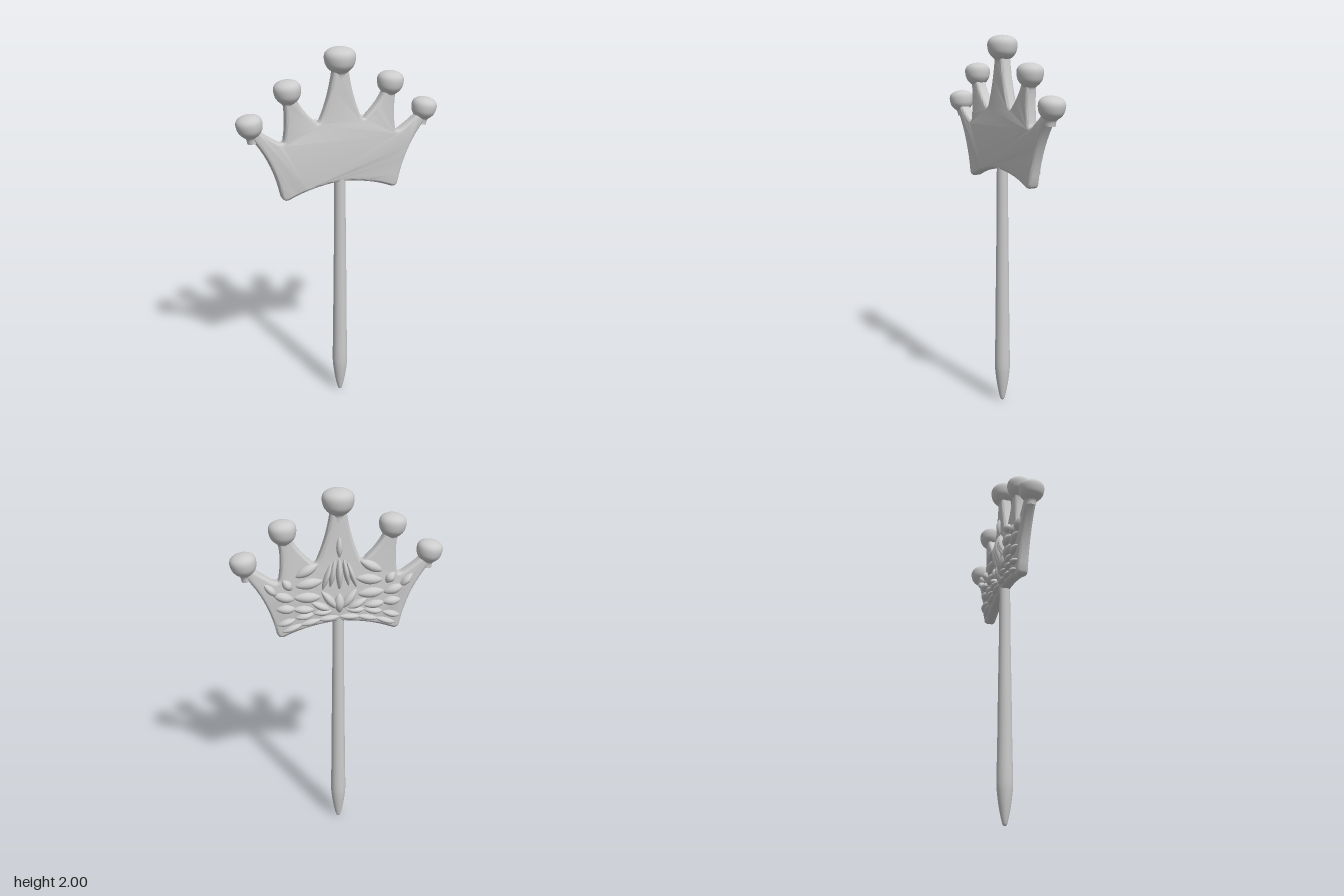
import * as THREE from 'three';
import { toCreasedNormals } from 'three/addons/utils/BufferGeometryUtils.js';

const material = new THREE.MeshStandardMaterial({ color: 0xcccccc });

function addMesh(parent, name, geometry) {
  const mesh = new THREE.Mesh(geometry, material);
  mesh.name = name;
  parent.add(mesh);
  return mesh;
}

// Turned shape from [radius, height] points, smoothed through a spline
function turned(points, rings, sides) {
  const curve = new THREE.SplineCurve(points.map(([r, y]) => new THREE.Vector2(r, y)));
  const profile = curve.getPoints(rings);
  profile.forEach((p) => { p.x = Math.max(p.x, 0); });
  return new THREE.LatheGeometry(profile, sides);
}

// Five-pointed plate with concave sides and an arched lower edge
function crownPlate() {
  const s = new THREE.Shape();
  s.moveTo(0, 1.305);
  s.quadraticCurveTo(0.16, 1.295, 0.285, 1.24);
  s.quadraticCurveTo(0.315, 1.23, 0.325, 1.26);
  s.quadraticCurveTo(0.365, 1.47, 0.495, 1.61);
  s.lineTo(0.46, 1.65);
  s.quadraticCurveTo(0.42, 1.605, 0.335, 1.552);
  s.quadraticCurveTo(0.305, 1.535, 0.302, 1.565);
  s.quadraticCurveTo(0.285, 1.66, 0.302, 1.78);
  s.lineTo(0.24, 1.78);
  s.quadraticCurveTo(0.225, 1.72, 0.14, 1.64);
  s.quadraticCurveTo(0.125, 1.618, 0.11, 1.64);
  s.quadraticCurveTo(0.055, 1.76, 0.036, 1.91);
  // Mirror the half outline
  const half = s.getPoints(10);
  const other = half.slice(1).reverse().map((p) => new THREE.Vector2(-p.x, p.y));
  const bevel = 0.016;
  const geometry = new THREE.ExtrudeGeometry(new THREE.Shape([...half, ...other]), {
    depth: 0.028, bevelEnabled: true, bevelThickness: bevel, bevelSize: bevel,
    bevelOffset: -bevel, bevelSegments: 4,
  });
  geometry.translate(0, 0, -0.014);
  return toCreasedNormals(geometry, 0.8);
}

// Rounded leaf, tapering toward both ends of its long axis (x)
function leafGeometry() {
  const geometry = new THREE.SphereGeometry(1, 20, 14);
  const p = geometry.attributes.position;
  for (let i = 0; i < p.count; i++) {
    const taper = 1 - 0.35 * p.getX(i) ** 2;
    p.setY(i, p.getY(i) * taper);
    p.setZ(i, p.getZ(i) * taper);
  }
  geometry.computeVertexNormals();
  return geometry;
}

export function createModel() {
  const model = new THREE.Group();

  // Stick with a blunt point
  addMesh(model, 'stick', turned([
    [0, 0], [0.012, 0.008], [0.028, 0.08], [0.039, 0.16], [0.042, 0.23],
    [0.039, 0.4], [0.036, 0.7], [0.032, 1.0], [0.03, 1.32],
  ], 50, 32));

  const crown = new THREE.Group();
  crown.name = 'crown';
  model.add(crown);
  addMesh(crown, 'crownPlate', crownPlate());

  // Flattened knobs with flared necks: x, y, size, tilt
  const knob = turned([
    [0.033, -0.105], [0.036, -0.075], [0.058, -0.054], [0.074, -0.03], [0.08, 0.005],
    [0.073, 0.029], [0.052, 0.045], [0.025, 0.053], [0, 0.055],
  ], 40, 36);
  const knobs = [[0, 1.945, 1, 0]];
  for (const side of [1, -1]) {
    knobs.push([0.277 * side, 1.808, 0.86, -0.08 * side], [0.476 * side, 1.655, 0.83, -0.16 * side]);
  }
  for (const [x, y, size, tilt] of knobs) {
    const mesh = addMesh(crown, 'knob', knob);
    mesh.position.set(x, y, 0);
    mesh.rotation.z = tilt;
    mesh.scale.set(size, size * (x ? 1.08 : 1), x ? 0.068 / 0.08 : 0.98);
  }

  // Raised leaves on the back
  const ornament = new THREE.Group();
  ornament.name = 'backOrnament';
  crown.add(ornament);
  const leaf = leafGeometry();
  const addLeaf = (name, x, y, length, width, angle, height = 0.03) => {
    const mesh = addMesh(ornament, name, leaf);
    mesh.position.set(x, y, -0.028);
    mesh.rotation.z = angle;
    mesh.scale.set(length, width, height);
  };

  // Central flower
  const up = Math.PI / 2;
  addLeaf('centerPetal', 0, 1.57, 0.085, 0.018, up, 0.032);
  addLeaf('topPetal', 0, 1.71, 0.055, 0.016, up, 0.022);
  addLeaf('lowerPetal', 0, 1.41, 0.055, 0.026, up);

  // Side leaves: x, y, length, width, angle
  const sideLeaves = [
    [0.035, 1.575, 0.075, 0.015, 1.75],
    [0.065, 1.56, 0.075, 0.014, 1.9],
    [0.05, 1.43, 0.065, 0.022, 0.9],
    [0.095, 1.4, 0.055, 0.02, 0.45],
    [0.165, 1.6, 0.065, 0.026, -0.5],
    [0.155, 1.53, 0.07, 0.028, -0.15],
    [0.165, 1.455, 0.07, 0.028, 0.05],
    [0.185, 1.39, 0.055, 0.022, 0.1],
    [0.265, 1.53, 0.035, 0.024, 0.9],
    [0.285, 1.465, 0.055, 0.026, 0.3],
    [0.275, 1.4, 0.05, 0.024, 0.05],
    [0.35, 1.51, 0.045, 0.02, 0.8],
  ];
  for (const side of [1, -1]) {
    for (const [x, y, length, width, angle] of sideLeaves) {
      addLeaf('sideLeaf', x * side, y, length, width, angle * side);
    }
    // Border beads following the arched lower edge
    for (let i = 0; i < 3; i++) {
      const x = 0.055 + i * 0.095;
      const arch = 1.305 - 0.7 * x * x;
      addLeaf('borderBead', x * side, arch + 0.027, 0.058, 0.016, -1.4 * x * side, 0.024);
      addLeaf('borderLeaf', (x + 0.03) * side, arch + 0.064, 0.05, 0.018, -1.1 * x * side);
    }
  }
  return model;
}
